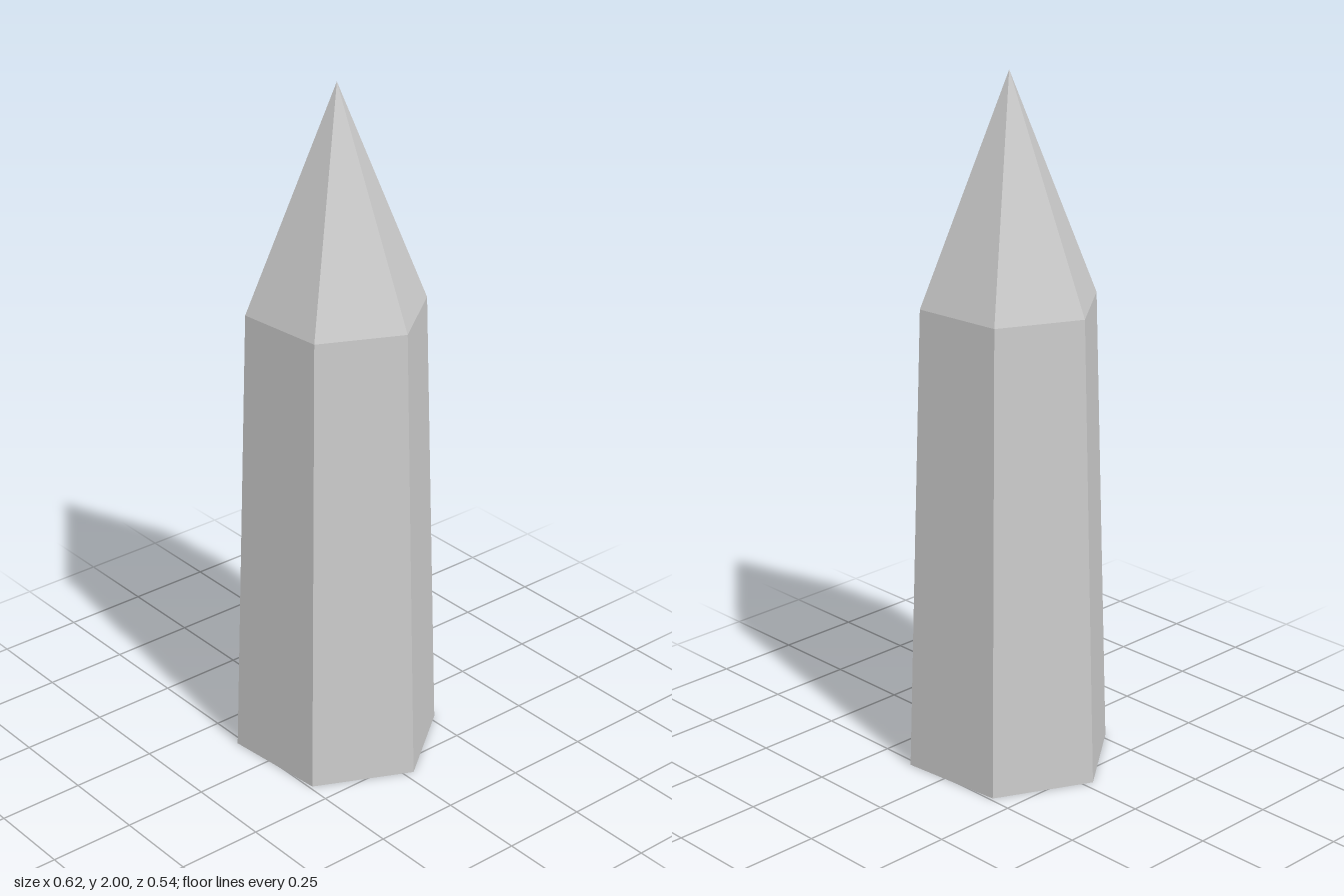
import * as THREE from 'three';

const SIDES = 6;
const TURN = THREE.MathUtils.degToRad(95.5); // direction of the first corner edge
const RADIUS_X = 0.3115, RADIUS_Z = 0.296;   // slightly flattened hexagon
const SHOULDER = 0.85, SHOULDER_Y = 1.363, TIP_Y = 2;

export function createModel() {
  const crystal = new THREE.Group();
  crystal.name = 'crystal';
  const material = new THREE.MeshStandardMaterial({ color: 0xcccccc, flatShading: true });

  // Six-sided part turned from a [radius, height] profile, bottom to top
  const addPart = (name, profile) => {
    const points = profile.map(([r, y]) => new THREE.Vector2(r, y));
    const geometry = new THREE.LatheGeometry(points, SIDES, TURN);
    geometry.scale(RADIUS_X, 1, RADIUS_Z);
    const mesh = new THREE.Mesh(geometry, material);
    mesh.name = name;
    crystal.add(mesh);
  };

  // Tapered shaft with its closed base
  addPart('shaft', [[0, 0], [1, 0], [SHOULDER, SHOULDER_Y]]);

  // Pointed tip
  addPart('tip', [[SHOULDER, SHOULDER_Y], [0, TIP_Y]]);

  return crystal;
}
